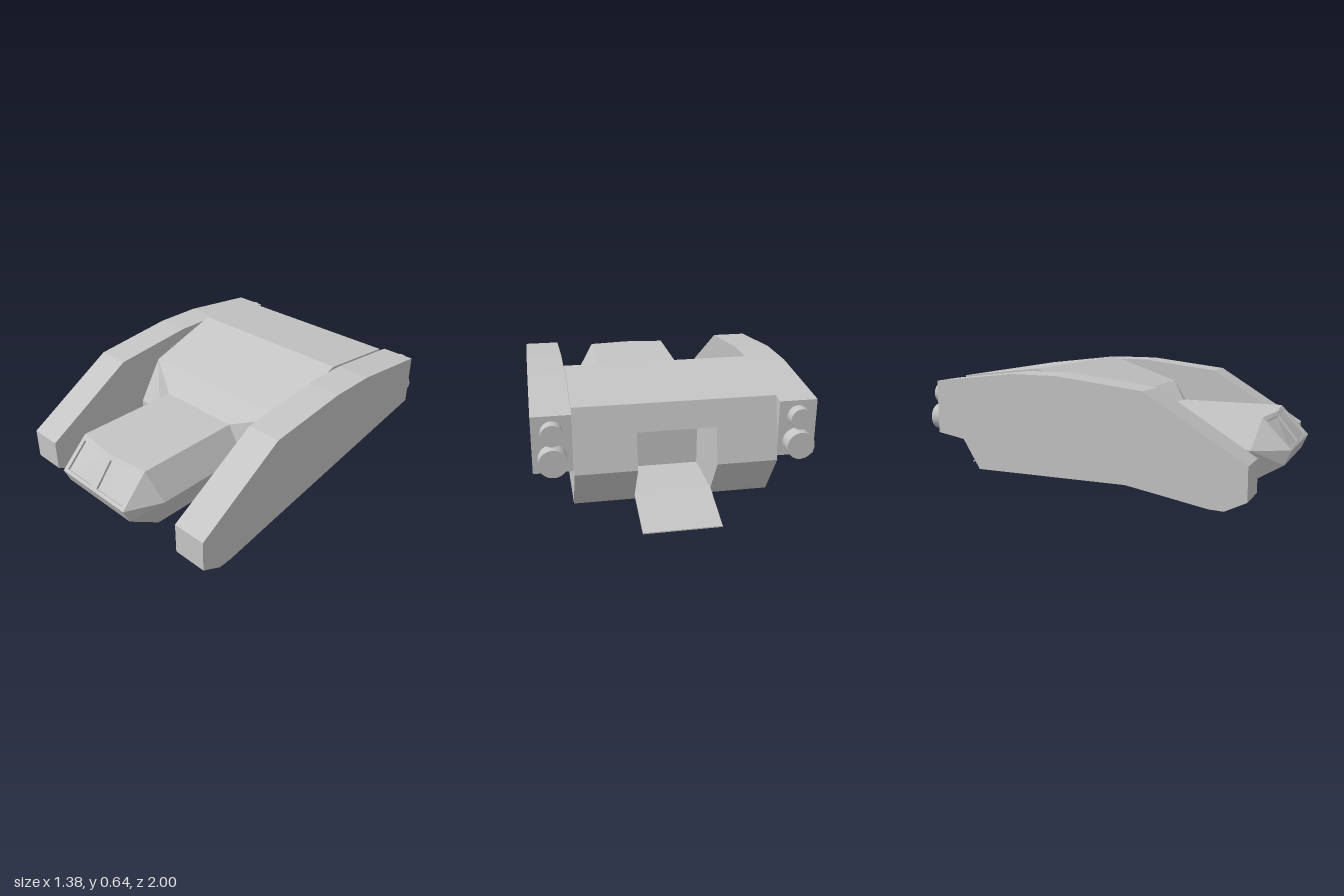
import * as THREE from 'three';

const grey = new THREE.MeshStandardMaterial({ color: 0xc4c4c4 });
grey.name = 'hullGrey';

const V = (x, y, z) => new THREE.Vector3(x, y, z);
const flip = p => V(-p.x, p.y, p.z);
const span = (a, b) => [a, flip(a), flip(b), b];          // panel across the centre line
const pair = face => [face, face.map(flip)];              // panel on both sides

function add(parent, name, geometry, x = 0, y = 0, z = 0) {
  const mesh = new THREE.Mesh(geometry, grey);
  mesh.name = name;
  mesh.position.set(x, y, z);
  parent.add(mesh);
  return mesh;
}

// Flat panels facing away from a centre (sign 1) or towards it (sign -1)
function panels(faces, centre, sign = 1) {
  const out = [];
  for (const f of faces) {
    for (let i = 1; i < f.length - 1; i++) {
      const [a, b, c] = [f[0], f[i], f[i + 1]];
      const n = b.clone().sub(a).cross(c.clone().sub(a));
      const facing = n.dot(a.clone().sub(centre)) * sign > 0;
      for (const p of facing ? [a, b, c] : [a, c, b]) out.push(p.x, p.y, p.z);
    }
  }
  const g = new THREE.BufferGeometry();
  g.setAttribute('position', new THREE.Float32BufferAttribute(out, 3));
  g.computeVertexNormals();
  return g;
}

// Side profile of [z, y] points, extruded across x around the middle
function slab(profile, width) {
  const shape = new THREE.Shape(profile.map(p => new THREE.Vector2(...p)));
  const g = new THREE.ExtrudeGeometry(shape, { depth: width, bevelEnabled: false });
  return g.translate(0, 0, -width / 2).rotateY(-Math.PI / 2);
}

function buildHull(group) {
  const w = 0.498, d = 0.195;
  const ridge = V(w, 0.64, -0.33), rearTop = V(w, 0.585, -0.8), rearMid = V(w, 0.27, -0.87);
  const rearLow = V(w, 0.045, -0.73), frontLow = V(w, 0.045, 0.245);
  const frontMid = V(w, 0.26, 0.245), brow = V(w, 0.495, 0.1);
  const neckTop = V(0.245, 0.41, 0.245), neckMid = V(0.34, 0.25, 0.245);
  // doorway levels on the rear panels
  const lintel = V(w, 0.45, -0.83), sill = V(w, 0.085, -0.755);
  const [doorTop, doorMid, doorLow] = [lintel, rearMid, sill].map(p => V(d, p.y, p.z));
  const backTop = V(d, 0.45, -0.45), backLow = V(d, 0.085, -0.45);

  add(group, 'hull', panels([
    ...pair([ridge, rearTop, rearMid, rearLow, frontLow, frontMid, brow]),
    span(rearTop, ridge), span(ridge, brow), span(brow, neckTop),
    ...pair([brow, neckTop, neckMid, frontMid]),
    span(frontMid, frontLow), span(frontLow, rearLow),
    span(rearTop, lintel),
    ...pair([lintel, doorTop, doorMid, rearMid]),
    ...pair([rearMid, doorMid, doorLow, sill]),
    span(sill, rearLow),
  ], V(0, 0.3, -0.3)));

  add(group, 'cargoBay', panels([
    ...pair([doorTop, doorMid, doorLow, backLow, backTop]),
    span(doorTop, backTop), span(doorLow, backLow), span(backTop, backLow),
  ], V(0, 0.28, -0.6), -1));

  add(group, 'rearRamp', slab([[-0.742, 0.09], [-1, 0.006], [-1, 0], [-0.735, 0.075]], 2 * d));
}

function buildCockpit(group) {
  const centre = V(0, 0.25, 0.55);
  const back = [V(0.245, 0.41, 0.23), V(0.34, 0.25, 0.23), V(0.27, 0.07, 0.23)];
  const roof = V(0.245, 0.41, 0.845), roofTip = V(0, 0.41, 0.872);
  const cheek = V(0.34, 0.25, 0.81), keel = V(0.265, 0.07, 0.795);
  const nose = V(0.25, 0.25, 1), chin = V(0.25, 0.17, 0.965), noseTip = V(0, 0.25, 1);

  add(group, 'cockpit', panels([
    [back[0], roof, roofTip, flip(roof), flip(back[0])],
    ...pair([back[0], back[1], cheek, roof]),
    ...pair([back[1], back[2], keel, cheek]),
    span(back[2], keel),
    ...pair([roof, cheek, nose]),
    ...pair([cheek, keel, chin, nose]),
    span(nose, chin), span(chin, keel),
  ], centre));

  // Windscreen frame with a recessed pane on each side
  const at = (u, v) => roofTip.clone().lerp(roof, u).lerp(noseTip.clone().lerp(nose, u), v);
  const ring = (u0, u1, v0, v1) => [at(u0, v0), at(u1, v0), at(u1, v1), at(u0, v1)];
  const outer = ring(0, 1, 0, 1), inner = ring(0.09, 0.9, 0.12, 0.91);
  const deep = inner.map(p => p.clone().add(V(0, -0.009, -0.009)));
  const strip = (a, b) => a.map((p, i) => [p, a[(i + 1) % 4], b[(i + 1) % 4], b[i]]);
  add(group, 'windscreenFrame', panels(strip(outer, inner).flatMap(pair), centre));
  add(group, 'windowPanes', panels(pair(deep), centre));
  const middle = inner.concat(deep).reduce((s, p) => s.add(p), V(0, 0, 0)).divideScalar(8);
  const reveals = strip(inner, deep);
  add(group, 'leftWindowReveal', panels(reveals, middle, -1));
  add(group, 'rightWindowReveal', panels(reveals.map(f => f.map(flip)), flip(middle), -1));
}

function buildPods(group) {
  const profile = [
    [0.885, 0.08], [0.885, 0.25], [0.365, 0.57], [-0.11, 0.625], [-0.38, 0.625],
    [-0.85, 0.57], [-0.85, 0.285], [0.42, 0.075], [0.7, 0.027], [0.775, 0.025],
  ];
  for (const [side, s] of [['left', 1], ['right', -1]]) {
    const pod = new THREE.Group();
    pod.name = side + 'Pod';
    pod.position.x = s * 0.595;
    add(pod, side + 'PodBody', slab(profile, 0.19));
    // stacked thrusters
    for (const [name, r, y, end] of [['Upper', 0.053, 0.492, -0.905], ['Lower', 0.069, 0.36, -0.92]]) {
      const len = -0.84 - end;
      const g = new THREE.CylinderGeometry(r, r, len, 32).rotateX(Math.PI / 2);
      add(pod, side + name + 'Thruster', g, 0, y, end + len / 2);
    }
    group.add(pod);
  }
}

export function createModel() {
  const group = new THREE.Group();
  group.name = 'shuttle';
  buildHull(group);
  buildCockpit(group);
  buildPods(group);
  return group;
}
